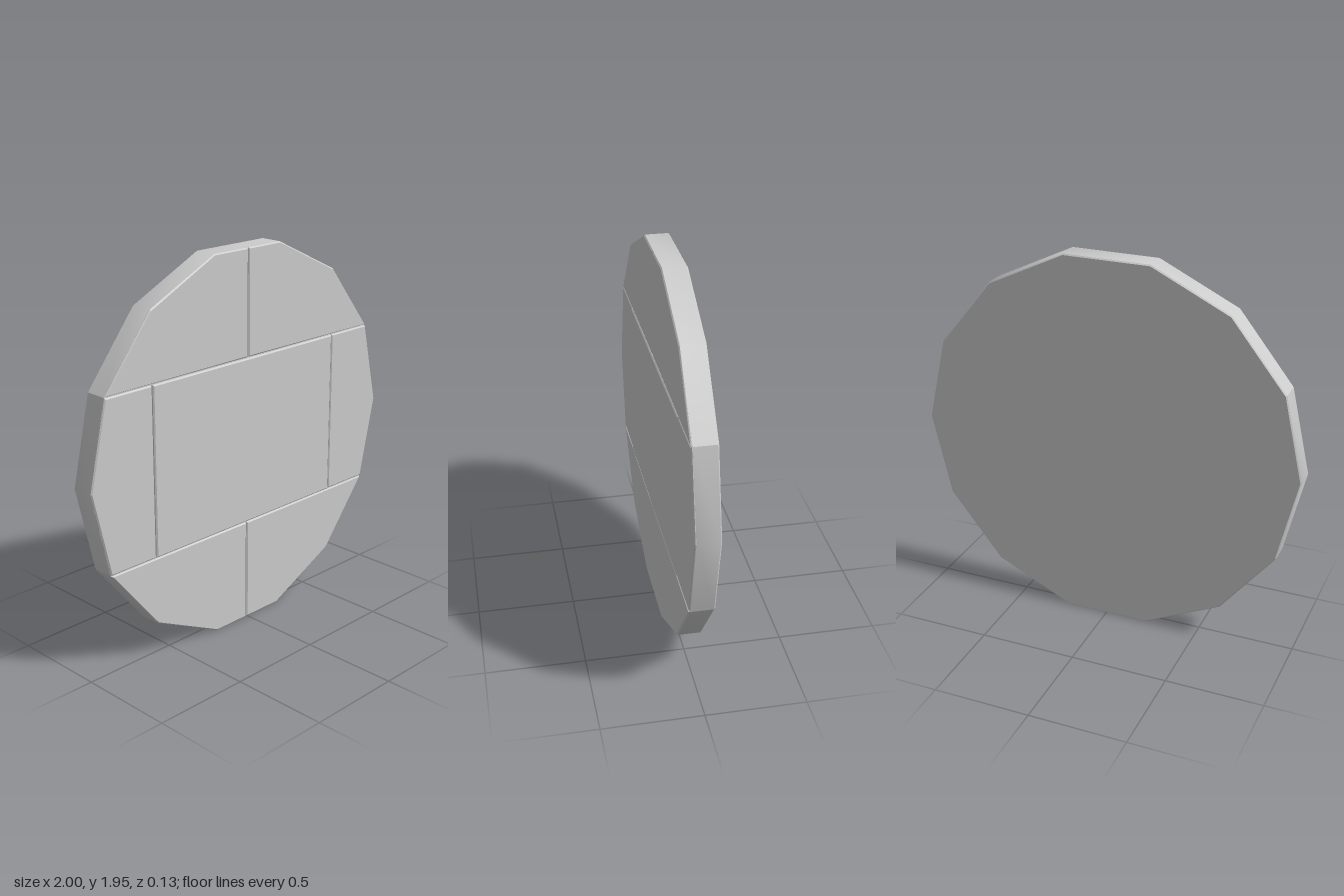
import * as THREE from 'three';

const SIDES = 14, CY = 0.975;
const STEP = (Math.PI * 2) / SIDES;
const BACK = -0.0625, FLOOR = 0.053;   // back face and groove floor
const CHAMFER = 0.006, GAP = 0.003;    // edge bevel and half groove width
const material = new THREE.MeshStandardMaterial({ color: 0xcccccc });

// Corner k of the fourteen-sided outline, k = 0 at +x
const corner = (k) => [Math.cos(k * STEP), Math.sin(k * STEP)];

export function createModel() {
  const model = new THREE.Group();
  const add = (name, geometry, z = 0) => {
    const mesh = new THREE.Mesh(geometry, material);
    mesh.name = name;
    mesh.position.set(0, CY, z);
    model.add(mesh);
  };

  // Open band of the rim, smooth within itself, creased at its ends
  const band = (name, k, count, rFront, rBack, z0, z1) => {
    const g = new THREE.CylinderGeometry(rFront, rBack, z1 - z0, count, 1, true,
      k * STEP + Math.PI / 2, count * STEP);
    g.rotateX(Math.PI / 2);
    g.computeVertexNormals();
    add(name, g, (z0 + z1) / 2);
  };
  for (const [k, count] of [[-1, 2], [1, 5], [6, 2], [8, 5]]) {
    band('rim', k, count, 1, 1, BACK + CHAMFER, FLOOR);
    band('backChamfer', k, count, 1, 1 - CHAMFER, BACK, BACK + CHAMFER);
  }

  // Flat back and the floor seen at the bottom of the grooves
  add('backFace', new THREE.CircleGeometry(1 - CHAMFER, SIDES).rotateY(Math.PI), BACK);
  add('grooveFloor', new THREE.CircleGeometry(1, SIDES), FLOOR);

  // Bevelled front panel
  const panel = (name, points, top) => {
    const shape = new THREE.Shape(points.map(([x, y]) => new THREE.Vector2(x, y)));
    const depth = top - FLOOR - CHAMFER + 0.001;
    add(name, new THREE.ExtrudeGeometry(shape, {
      depth, bevelEnabled: true, bevelSegments: 1,
      bevelThickness: CHAMFER, bevelSize: CHAMFER, bevelOffset: -CHAMFER,
    }), FLOOR - 0.001);
  };

  const [c0, c1, c2, c3] = [0, 1, 2, 3].map(corner);
  const x = c2[0], y = c1[1];

  // Centre panel stands slightly proud
  const cx = x - GAP, cy = y - GAP;
  panel('centrePanel', [[-cx, -cy], [cx, -cy], [cx, cy], [-cx, cy]], 0.0655);

  for (const s of [1, -1]) {
    // Left and right panels
    panel(s > 0 ? 'leftPanel' : 'rightPanel', [
      [x + GAP, -cy], [c1[0], -cy], c0, [c1[0], cy], [x + GAP, cy],
    ].map(([px, py]) => [s * px, py]), 0.0625);

    // Upper and lower quarter panels, split by a vertical seam
    for (const v of [1, -1]) {
      const seam = v > 0 ? 0.002 : -0.008;
      panel(v > 0 ? 'upperPanel' : 'lowerPanel', [
        [s * seam + GAP, y + GAP], [c1[0] - GAP, y + GAP], c2, c3, [s * seam + GAP, c3[1]],
      ].map(([px, py]) => [s * px, v * py]), 0.0625);
    }
  }
  return model;
}
